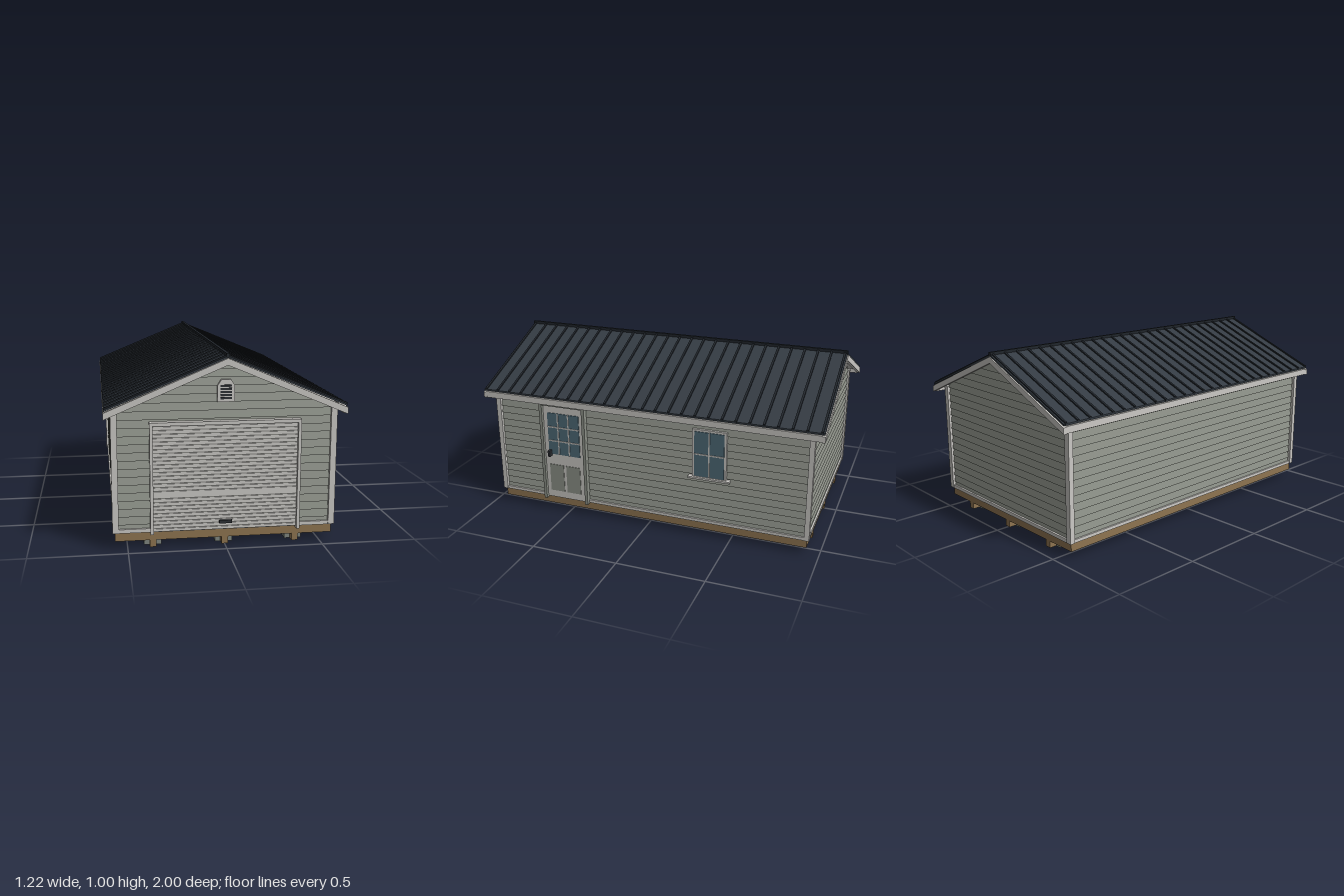
import * as THREE from 'three';

const mat = (name, color) => {
  const m = new THREE.MeshStandardMaterial({ color });
  m.name = name;
  return m;
};

export function createModel() {
  const siding = mat('sage siding', 0x8d9188);
  const trim = mat('light trim', 0xcbc9c5);
  const roofing = mat('slate roofing', 0x343b43);
  const seam = mat('dark seam', 0x20252b);
  const timber = mat('timber', 0x8f7551);
  const glass = mat('glass', 0x4e6a77);
  const concrete = mat('concrete', 0x808780);
  const metal = mat('dark metal', 0x2b2e33);
  const groove = mat('door groove', 0x8a8985);

  const model = new THREE.Group();
  model.name = 'garage';
  const part = (name) => {
    const g = new THREE.Group();
    g.name = name;
    model.add(g);
    return g;
  };
  const add = (parent, name, geo, material) => {
    const m = new THREE.Mesh(geo, material);
    m.name = name;
    parent.add(m);
    return m;
  };
  // box between two corners
  const box = (parent, name, material, x0, x1, y0, y1, z0, z1) => {
    const m = add(parent, name, new THREE.BoxGeometry(x1 - x0, y1 - y0, z1 - z0), material);
    m.position.set((x0 + x1) / 2, (y0 + y1) / 2, (z0 + z1) / 2);
    return m;
  };
  // inverted V across the gable, extruded along z
  const chevron = (parent, name, material, topY, endY, halfW, thick, z0, z1) => {
    const s = new THREE.Shape([
      [-halfW, endY], [-halfW, endY - thick], [0, topY - thick],
      [halfW, endY - thick], [halfW, endY], [0, topY],
    ].map(([x, y]) => new THREE.Vector2(x, y)));
    const m = add(parent, name, new THREE.ExtrudeGeometry(s, { depth: z1 - z0, bevelEnabled: false }), material);
    m.position.z = z0;
    return m;
  };

  // foundation: floor frame, skids and blocks
  const base = part('foundation');
  box(base, 'floorFrame', timber, -0.563, 0.563, 0.04, 0.087, -0.93, 0.93);
  for (const x of [-0.37, 0, 0.37]) {
    box(base, 'skid', timber, x - 0.017, x + 0.017, 0.003, 0.042, -0.93, 0.93);
    for (const z of [-0.835, 0, 0.835])
      box(base, 'block', concrete, x - 0.045, x + 0.045, 0, 0.027, z - 0.052, z + 0.052);
  }

  // lap siding: each board leans out at its lower edge
  const pitch = 0.0415;
  const wall = (name, width, face, angle, rows, widthAt) => {
    const g = part(name);
    for (let i = 0; i < rows; i++) {
      const y0 = 0.085 + i * pitch, y1 = y0 + pitch;
      const geo = new THREE.BoxGeometry(2, pitch, 0.02);
      const p = geo.attributes.position;
      for (let k = 0; k < p.count; k++) {
        const low = p.getY(k) < 0;
        const half = Math.min(width, widthAt(low ? y0 : y1));
        p.setXYZ(k, Math.sign(p.getX(k)) * half, low ? y0 : y1,
          p.getZ(k) < 0 ? face - 0.02 : face + (low ? 0.009 : 0));
      }
      geo.computeVertexNormals();
      add(g, 'sidingBoard', geo, siding);
    }
    g.rotation.y = angle;
  };
  const gable = (y) => Math.max(0.004, (0.968 - y) / 0.42);
  wall('frontWall', 0.555, 0.925, 0, 21, gable);
  wall('backWall', 0.555, 0.925, Math.PI, 21, gable);
  wall('leftWall', 0.925, 0.555, Math.PI / 2, 15, () => 9);
  wall('rightWall', 0.925, 0.555, -Math.PI / 2, 15, () => 9);

  // corner boards and skirting trim
  const trims = part('wallTrim');
  for (const sx of [-1, 1]) {
    for (const sz of [-1, 1])
      box(trims, 'cornerBoard', trim, sx * 0.56 - 0.016, sx * 0.56 + 0.016, 0.087, 0.715,
        sz * 0.93 - 0.014, sz * 0.93 + 0.014);
    box(trims, 'sideSkirting', trim, sx * 0.56 - 0.01, sx * 0.56 + 0.01, 0.085, 0.103, -0.93, 0.93);
  }
  for (const sz of [-1, 1])
    box(trims, 'endSkirting', trim, -0.56, 0.56, 0.085, 0.105, sz * 0.93 - 0.01, sz * 0.93 + 0.01);

  // roof: sheet, standing seams, soffit, barge boards and fascias
  const roof = part('roof');
  chevron(roof, 'roofSheet', roofing, 0.985, 0.734, 0.608, 0.01, -0.995, 0.995);
  chevron(roof, 'soffit', trim, 0.969, 0.716, 0.6, 0.008, -0.98, 0.98);
  for (let i = 0; i < 27; i++) {
    const z = -0.981 + i * 0.0755;
    chevron(roof, 'seam', seam, 0.992, 0.741, 0.609, 0.011, z - 0.006, z + 0.006);
  }
  box(roof, 'ridgeCap', seam, -0.008, 0.008, 0.975, 0.998, -0.997, 0.997);
  for (const s of [-1, 1]) {
    chevron(roof, 'bargeBoard', trim, 0.974, 0.717, 0.612, 0.034, s * 0.99 - 0.01, s * 0.99 + 0.01);
    box(roof, 'fascia', trim, s * 0.603 - 0.008, s * 0.603 + 0.008, 0.685, 0.72, -0.985, 0.985);
  }

  // roll-up door
  const roll = part('rollUpDoor');
  box(roll, 'doorBacking', groove, -0.37, 0.37, 0.087, 0.645, 0.925, 0.943);
  const slats = 28, slatH = (0.638 - 0.09) / slats;
  for (let i = 0; i < slats; i++) {
    const y = 0.09 + i * slatH;
    box(roll, 'slat', trim, -0.37, 0.37, y, y + slatH * (i === 9 ? 1 : 0.7), 0.94, 0.948);
  }
  for (const s of [-1, 1])
    box(roll, 'doorJamb', trim, s * 0.377 - 0.008, s * 0.377 + 0.008, 0.078, 0.656, 0.925, 0.964);
  box(roll, 'doorHeader', trim, -0.385, 0.385, 0.638, 0.656, 0.925, 0.963);
  box(roll, 'doorHandle', metal, -0.033, 0.033, 0.122, 0.138, 0.945, 0.96);

  // arched gable vent
  const vent = part('gableVent');
  const arch = new THREE.Shape();
  arch.moveTo(-0.044, 0.75);
  arch.lineTo(0.044, 0.75);
  arch.lineTo(0.044, 0.832);
  arch.lineTo(0.024, 0.862);
  arch.lineTo(-0.024, 0.862);
  arch.lineTo(-0.044, 0.832);
  add(vent, 'ventFrame', new THREE.ExtrudeGeometry(arch, { depth: 0.02, bevelEnabled: false }), trim)
    .position.z = 0.925;
  for (let i = 0; i < 5; i++)
    box(vent, 'louvre', metal, -0.029, 0.029, 0.764 + i * 0.0155, 0.774 + i * 0.0155, 0.942, 0.949);

  // glazed panel with evenly spaced bars on the left wall
  const glazing = (g, y0, y1, z0, z1, cols, rows, x) => {
    box(g, 'glassPane', glass, x - 0.005, x, y0, y1, z0, z1);
    for (let i = 1; i < cols; i++) {
      const z = z0 + (z1 - z0) * i / cols;
      box(g, 'uprightBar', trim, x - 0.002, x + 0.004, y0, y1, z - 0.0035, z + 0.0035);
    }
    for (let i = 1; i < rows; i++) {
      const y = y0 + (y1 - y0) * i / rows;
      box(g, 'crossBar', trim, x - 0.002, x + 0.004, y - 0.0035, y + 0.0035, z0, z1);
    }
  };

  // side door
  const door = part('sideDoor');
  box(door, 'doorLeaf', trim, 0.55, 0.572, 0.087, 0.67, 0.383, 0.637);
  glazing(door, 0.368, 0.625, 0.41, 0.61, 3, 3, 0.576);
  for (const z of [0.415, 0.522])
    box(door, 'lowerPanel', siding, 0.57, 0.575, 0.13, 0.3, z, z + 0.09);
  for (const z of [0.375, 0.645])
    box(door, 'doorCasing', siding, 0.55, 0.59, 0.078, 0.685, z - 0.009, z + 0.009);
  box(door, 'doorHead', siding, 0.55, 0.588, 0.67, 0.685, 0.375, 0.645);
  box(door, 'doorHandle', metal, 0.57, 0.601, 0.358, 0.394, 0.592, 0.607);

  // side window
  const win = part('sideWindow');
  box(win, 'windowFrame', trim, 0.55, 0.573, 0.36, 0.648, -0.473, -0.277);
  glazing(win, 0.373, 0.636, -0.46, -0.29, 2, 2, 0.577);
  box(win, 'windowSill', trim, 0.55, 0.586, 0.357, 0.368, -0.495, -0.255);

  return model;
}
